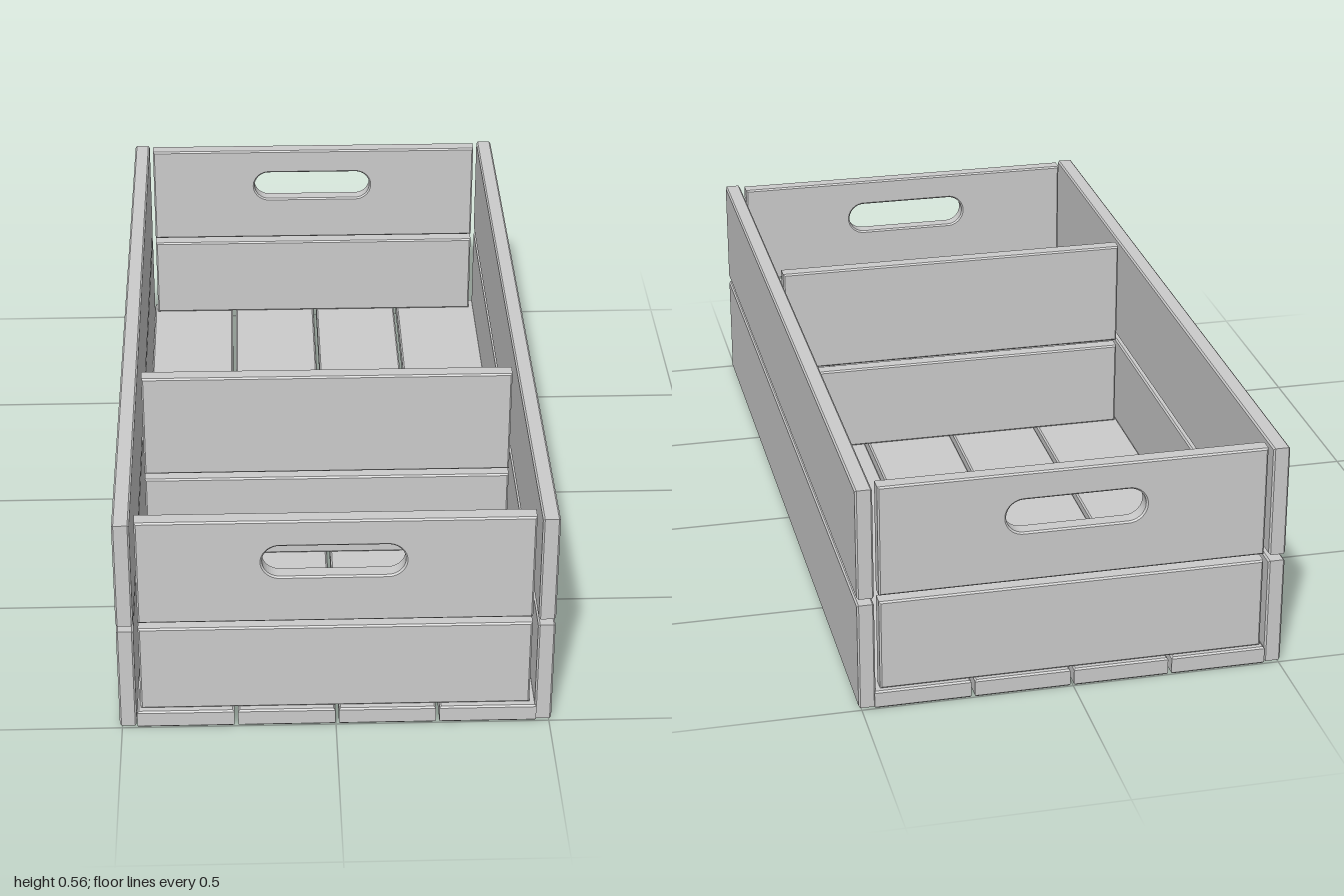
import * as THREE from 'three';

const BEVEL = 0.004;
const material = new THREE.MeshStandardMaterial({ color: 0xcccccc, flatShading: true });

// Stadium-shaped hand hole
function gripHole(x, y, halfLength, radius) {
  const hole = new THREE.Path();
  const dx = halfLength - radius;
  hole.absarc(x + dx, y, radius, -Math.PI / 2, Math.PI / 2, false);
  hole.absarc(x - dx, y, radius, Math.PI / 2, Math.PI * 1.5, false);
  hole.closePath();
  return hole;
}

// Plank with chamfered edges, centred, lying in the XY plane with thickness along z
function plank(name, width, height, thickness, hole) {
  const w = width / 2, h = height / 2;
  const shape = new THREE.Shape([
    new THREE.Vector2(-w, -h), new THREE.Vector2(w, -h),
    new THREE.Vector2(w, h), new THREE.Vector2(-w, h),
  ]);
  if (hole) shape.holes.push(hole);
  const geometry = new THREE.ExtrudeGeometry(shape, {
    depth: thickness - 2 * BEVEL,
    bevelEnabled: true, bevelThickness: BEVEL, bevelSize: BEVEL,
    bevelOffset: -BEVEL, bevelSegments: 1, curveSegments: 12,
  });
  geometry.translate(0, 0, BEVEL - thickness / 2);
  const mesh = new THREE.Mesh(geometry, material);
  mesh.name = name;
  return mesh;
}

export function createModel() {
  const crate = new THREE.Group();
  crate.name = 'crate';

  // Long side planks, two rows on each side
  const sideRows = [['lower', 0.005, 0.271], ['upper', 0.287, 0.56]];
  for (const [row, y0, y1] of sideRows) {
    for (const s of [-1, 1]) {
      const p = plank(`${row}${s > 0 ? 'Left' : 'Right'}Side`, 1.99, y1 - y0, 0.04);
      p.rotation.y = Math.PI / 2;
      p.position.set(s * 0.486, (y0 + y1) / 2, 0);
      crate.add(p);
    }
  }

  // Cross walls: front, back and divider, two rows each; the ends have hand holes
  const walls = [['front', 0.966, true], ['divider', 0.318, false], ['back', -0.969, true]];
  const wallRows = [['Lower', 0.046, 0.271], ['Upper', 0.287, 0.56]];
  for (const [name, z, hasGrip] of walls) {
    for (const [row, y0, y1] of wallRows) {
      const y = (y0 + y1) / 2;
      const hole = hasGrip && row === 'Upper' ? gripHole(-0.004, 0.451 - y, 0.164, 0.041) : null;
      const p = plank(`${name}${row}Plank`, 0.91, y1 - y0, 0.04, hole);
      p.position.set(-0.001, y, z);
      crate.add(p);
    }
  }

  // Four floor slats running front to back
  for (let i = 0; i < 4; i++) {
    const p = plank(`floorSlat${i + 1}`, 0.227, 2, 0.044);
    p.rotation.x = -Math.PI / 2;
    p.position.set(-0.351 + i * 0.2357, 0.024, 0);
    crate.add(p);
  }

  return crate;
}
